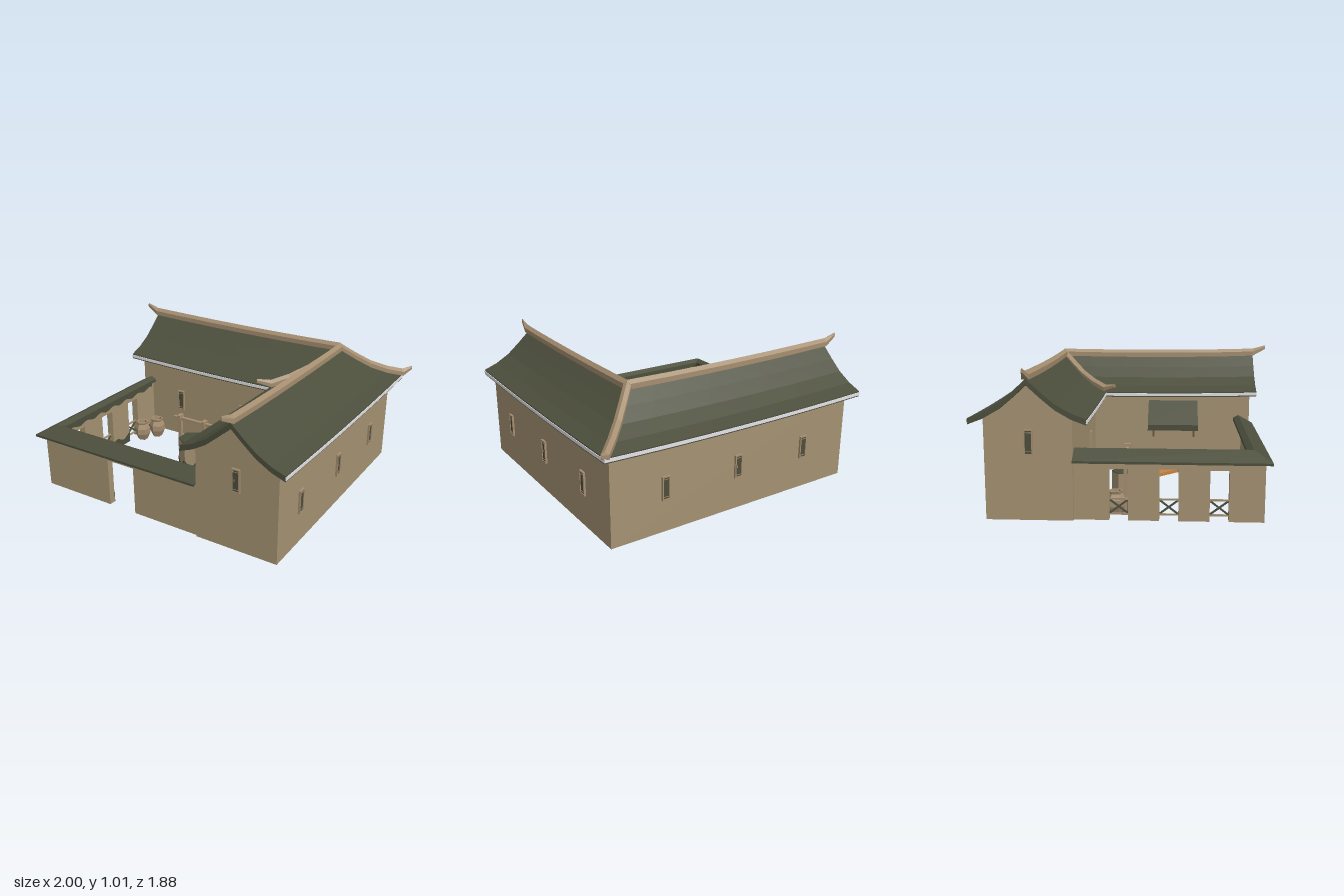
import * as THREE from 'three';

const mat = (name, color, side = THREE.FrontSide) => {
  const m = new THREE.MeshStandardMaterial({ color, side });
  m.name = name;
  return m;
};
const V = (x, y, z) => new THREE.Vector3(x, y, z);

// Solid through matching loops; each loop folds in half so its ends close as a strip.
function loft(sections) {
  const tris = [], m = sections[0].length, n = m / 2;
  const quad = (a, b, c, d) => tris.push([a, b, c], [a, c, d]);
  for (let k = 0; k < sections.length - 1; k++) {
    const A = sections[k], B = sections[k + 1];
    for (let i = 0; i < m; i++) quad(A[i], A[(i + 1) % m], B[(i + 1) % m], B[i]);
  }
  const F = sections[0], L = sections[sections.length - 1];
  for (let i = 0; i < n - 1; i++) {
    quad(F[m - 1 - i], F[m - 2 - i], F[i + 1], F[i]);
    quad(L[i], L[i + 1], L[m - 2 - i], L[m - 1 - i]);
  }
  let volume = 0;
  for (const [a, b, c] of tris) volume += a.dot(b.clone().cross(c));
  const pos = [];
  for (const [a, b, c] of tris)
    for (const p of volume < 0 ? [a, c, b] : [a, b, c]) pos.push(p.x, p.y, p.z);
  const g = new THREE.BufferGeometry();
  g.setAttribute('position', new THREE.Float32BufferAttribute(pos, 3));
  g.computeVertexNormals();
  return g;
}

// Wavy patch; negative height hangs down
function wavyPatch(w, h) {
  const s = new THREE.Shape();
  s.moveTo(-w / 2, 0);
  s.lineTo(w / 2, 0);
  const n = Math.max(6, Math.round(w / 0.025));
  for (let i = 0; i <= n; i++)
    s.lineTo(w / 2 - (w * i) / n, h * (0.78 + 0.22 * Math.sin(i * 1.1 + w * 9)));
  s.closePath();
  return new THREE.ShapeGeometry(s);
}

export function createModel() {
  const wall = mat('wallPlaster', 0xa49272, THREE.DoubleSide);
  const ridge = mat('ridgeTan', 0xa58e70);
  const green = mat('tileGreen', 0x4c4e3c, THREE.DoubleSide);
  const trim = mat('eaveTrim', 0xe6e6ea);
  const orange = mat('orangeWood', 0xc58342);
  const root = new THREE.Group();
  const add = (name, g, m, x = 0, y = 0, z = 0, parent = root) => {
    const o = new THREE.Mesh(g, m);
    o.name = name;
    o.position.set(x, y, z);
    parent.add(o);
    return o;
  };
  const box = (name, m, x0, x1, y0, y1, z0, z1, parent = root) =>
    add(name, new THREE.BoxGeometry(x1 - x0, y1 - y0, z1 - z0), m,
      (x0 + x1) / 2, (y0 + y1) / 2, (z0 + z1) / 2, parent);

  // The two roofs share a mitred corner; s is the offset from the ridge, positive to the courtyard
  const CX = 0.605, CZ = -0.552, HALF = 0.338, BASE = 0.113;
  const profile = [[0, 0.93], [0.08, 0.857], [0.16, 0.79], [0.25, 0.738], [HALF, 0.705]];
  const roofY = (s) => {
    const d = Math.min(Math.abs(s), HALF - 1e-6);
    const i = profile.findIndex((p) => p[0] > d);
    const [a, b] = [profile[i - 1], profile[i]];
    return a[1] + ((b[1] - a[1]) * (d - a[0])) / (b[0] - a[0]);
  };
  const lift = (a) => 0.014 * (a / 0.9) ** 2 - 0.003;
  const wings = [
    { name: 'back', roofEnd: -0.91, corner: CX, at: (a, y, s) => V(a, y, CZ + s) },
    { name: 'side', roofEnd: -0.85, corner: -CZ, at: (a, y, s) => V(CX - s + 0.007 * (a + CZ), y, -a) },
  ];
  const sweepWing = (w, offsets, top, bottom) => {
    const sections = [];
    for (let k = 0; k <= 8; k++) {
      const point = (s, y) => {
        const a = w.roofEnd + ((w.corner - s - w.roofEnd) * k) / 8;
        return w.at(a, y + lift(a), s);
      };
      sections.push([...offsets.map((s) => point(s, top(s))),
        ...[...offsets].reverse().map((s) => point(s, bottom(s)))]);
    }
    return loft(sections);
  };
  const ridgeBar = (path) => loft(path.map(([p, w, h], i) => {
    const a = path[Math.max(0, i - 1)][0], b = path[Math.min(path.length - 1, i + 1)][0];
    const side = V(b.z - a.z, 0, a.x - b.x).normalize();
    return [[-w, 0], [0, 0], [w, 0], [w, h * 0.6], [0, h], [-w, h * 0.6]]
      .map(([u, v]) => p.clone().addScaledVector(side, u).add(V(0, v, 0)));
  }));
  const half = profile.map((p) => p[0]);
  const roofS = [...half.slice(1).reverse().map((d) => -d), ...half];
  for (const w of wings) {
    add(w.name + 'WingRoof', sweepWing(w, roofS, roofY, (s) => roofY(s) - 0.035), green);
    for (const e of [-1, 1])
      add(w.name + 'WingEaveTrim', sweepWing(w, [e * 0.333, e * 0.342], () => 0.698, () => 0.678), trim);
    // Main ridge with an upturned point
    const path = [[w.at(w.roofEnd - 0.09, 0.985, 0), 0.004, 0.028],
      [w.at(w.roofEnd, 0.938, 0), 0.022, 0.05]];
    for (let k = 1; k <= 6; k++) {
      const a = w.roofEnd + ((w.corner - w.roofEnd) * k) / 6;
      path.push([w.at(a, 0.926 + lift(a), 0), 0.021, 0.052]);
    }
    add(w.name + 'WingRidge', ridgeBar(path), ridge);
  }
  // Diagonal ridges over the outer hip and the inner valley
  for (const [name, e, tip] of [['hipRidge', 1, 0.388], ['valleyRidge', -1, 0.408]]) {
    const path = profile.map(([d, y]) => [V(CX + e * d, y + 0.004, CZ - e * d), 0.023, 0.046]);
    path.push([V(CX + e * tip, 0.745, CZ - e * tip), 0.004, 0.025]);
    add(name, ridgeBar(path), ridge);
  }

  // Hollow house walls around an L-shaped plan, open at the bottom
  const X0 = -0.87, X1 = 0.34, X2 = 0.88, Z0 = -0.81, Z1 = -0.3, Z2 = 0.81;
  const straight = (name, x, z, length, turn, s) => {
    const h = roofY(s) - 0.02 - BASE;
    add(name, new THREE.PlaneGeometry(length, h), wall, x, BASE + h / 2, z).rotation.y = turn;
  };
  straight('backWall', (X0 + X2) / 2, Z0, X2 - X0, Math.PI, CZ - Z0);
  straight('outerWall', X2, (Z0 + Z2) / 2, Z2 - Z0, Math.PI / 2, X2 - CX);
  straight('courtBackWall', (X0 + X1) / 2, Z1, X1 - X0, 0, Z1 - CZ);
  straight('courtSideWall', X1, (Z1 + Z2) / 2, Z2 - Z1, -Math.PI / 2, CX - X1);
  const gable = (name, u0, u1, x, z, turn) => {
    const s = new THREE.Shape();
    s.moveTo(u0, BASE);
    s.lineTo(u1, BASE);
    for (const u of [u1, 0.16, 0.08, 0, -0.08, -0.16, u0]) s.lineTo(u, roofY(u) - 0.02);
    s.closePath();
    add(name, new THREE.ShapeGeometry(s), wall, x, 0, z).rotation.y = turn;
  };
  gable('frontGable', X1 - CX, X2 - CX, CX, Z2, 0);
  gable('sideGable', Z0 - CZ, Z1 - CZ, X0, CZ, -Math.PI / 2);

  // Windows: thin raised frame, dark pane, short bars and a small warm light
  const windowAt = (x, y, z, turn, lit) => {
    const g = new THREE.Group();
    g.name = 'window';
    g.position.set(x, y, z);
    g.rotation.y = turn;
    box('windowPane', green, -0.02, 0.02, -0.07, 0.07, 0, 0.008, g);
    for (const e of [-1, 1]) {
      add('windowJamb', new THREE.BoxGeometry(0.008, 0.15, 0.014), ridge, e * 0.023, 0, 0.006, g);
      add('windowRail', new THREE.BoxGeometry(0.046, 0.008, 0.014), ridge, 0, e * 0.071, 0.006, g);
      add('windowBar', new THREE.BoxGeometry(0.036, 0.003, 0.004), ridge, 0, e * 0.055, 0.008, g);
    }
    if (lit) add('windowLight', new THREE.BoxGeometry(0.008, 0.014, 0.004), orange, -0.01, 0, 0.008, g);
    root.add(g);
  };
  [0.54, 0.02, -0.5].forEach((z, i) => windowAt(X2, 0.395, z, Math.PI / 2, i === 1));
  [0.52, 0, -0.52].forEach((x, i) => windowAt(x, 0.395, Z0, Math.PI, i === 1));
  [-0.53, 0].forEach((x) => windowAt(x, 0.395, Z1, 0, false));
  windowAt(0.612, 0.575, Z2, 0, true);
  windowAt(X0, 0.575, CZ, -Math.PI / 2, false);

  // Courtyard walls, with a gateway in front and three openings on the side
  const TOP = 0.484;
  const moss = (x, z, w, turn, y, h) => {
    add(h > 0 ? 'wallMoss' : 'hangingVine', wavyPatch(w, h), green, x, y, z).rotation.y = turn;
  };
  for (const [x0, x1] of [[-0.845, -0.33], [-0.13, 0.338]]) {
    box('frontWall', wall, x0, x1, BASE, TOP, 0.755, 0.799);
    moss((x0 + x1) / 2, 0.752, x1 - x0, Math.PI, BASE, 0.075);
  }
  box('gateLintel', wall, -0.33, -0.13, 0.43, TOP, 0.755, 0.799);
  moss(-0.25, 0.751, 1.08, Math.PI, TOP, -0.04);
  for (const [z0, z1] of [[-0.3, -0.095], [0.015, 0.195], [0.305, 0.485], [0.595, 0.798]]) {
    box('sideWallPier', wall, -0.845, -0.795, BASE, TOP, z0, z1);
    moss(-0.792, (z0 + z1) / 2, z1 - z0, Math.PI / 2, BASE, 0.075);
  }
  moss(-0.791, 0.24, 1.04, Math.PI / 2, TOP, -0.04);
  for (const z of [-0.04, 0.25, 0.54]) {
    box('openingLintel', wall, -0.845, -0.795, 0.42, TOP, z - 0.055, z + 0.055);
    for (const y of [0.14, 0.23]) box('latticeRail', ridge, -0.826, -0.814, y, y + 0.01, z - 0.055, z + 0.055);
    for (const e of [-1, 1])
      add('latticeBar', new THREE.BoxGeometry(0.01, 0.01, 0.135), green, -0.82, 0.19, z).rotation.x = e * 0.65;
  }
  // Tiled coping mitred around the front corner
  const coping = [[0, 0.476], [0.1, 0.532], [0.135, 0.512], [0.135, 0.492], [0.1, 0.51], [0, 0.462]];
  add('wallCoping', loft([
    coping.map(([o, y]) => V(-0.905 + o, y, Z1)),
    coping.map(([o, y]) => V(-0.905 + o, y, 0.833 - o)),
    coping.map(([o, y]) => V(X1, y, 0.833 - o)),
  ]), green);

  // Bracketed awning on the side wing and the board lying below it
  const awning = [[0.142, 0.49], [0.342, 0.635], [0.342, 0.595], [0.142, 0.45]];
  add('awning', loft([0.09, 0.44].map((z) => awning.map(([x, y]) => V(x, y, z)))), green);
  for (const z of [0.125, 0.415])
    add('awningBracket', new THREE.BoxGeometry(0.014, 0.17, 0.014), ridge, 0.285, 0.435, z).rotation.z = 0.7;
  add('woodenBoard', new THREE.BoxGeometry(0.165, 0.022, 0.29), orange, 0.226, 0.133, 0.161)
    .rotation.y = Math.PI / 4;

  // Well with mossy base, posts and crossbars
  const well = new THREE.Group();
  well.name = 'well';
  well.position.set(-0.255, 0, -0.03);
  root.add(well);
  const hex = (r, h) => new THREE.CylinderGeometry(r, r, h, 6).toNonIndexed();
  const flat = (g) => { g.computeVertexNormals(); return g; };
  add('wellShaft', flat(hex(0.1, 0.25)), wall, 0, 0.132, 0, well);
  add('wellMossBase', flat(hex(0.102, 0.07)), green, 0, 0.035, 0, well);
  add('wellWater', flat(hex(0.1, 0.006)), green, 0, 0.257, 0, well);
  for (let i = 0; i < 6; i++) {
    const t = Math.PI / 6 + (i * Math.PI) / 3;
    add('wellMoss', wavyPatch(0.1, 0.12), green, Math.sin(t) * 0.0885, 0, Math.cos(t) * 0.0885, well).rotation.y = t;
  }
  for (const e of [-1, 1]) {
    box('wellPost', ridge, e * 0.102 - 0.011, e * 0.102 + 0.011, 0, 0.4, -0.014, 0.01, well);
    box('wellPostCap', ridge, e * 0.102 - 0.013, e * 0.102 + 0.013, 0.385, 0.418, -0.026, 0.022, well);
  }
  box('wellCrossbar', ridge, -0.15, 0.165, 0.38, 0.402, -0.014, 0.01, well);

  // Six-sided storage pots
  const potProfile = [[0, 0], [0.036, 0], [0.057, 0.05], [0.057, 0.09], [0.042, 0.125],
    [0.047, 0.14], [0.036, 0.14], [0.033, 0.115], [0, 0.115]].map(([r, y]) => new THREE.Vector2(r, y));
  for (const [x, z] of [[-0.732, -0.066], [-0.673, -0.17]])
    add('storagePot', flat(new THREE.LatheGeometry(potProfile, 6).toNonIndexed()), ridge, x, 0.12, z);

  return root;
}
